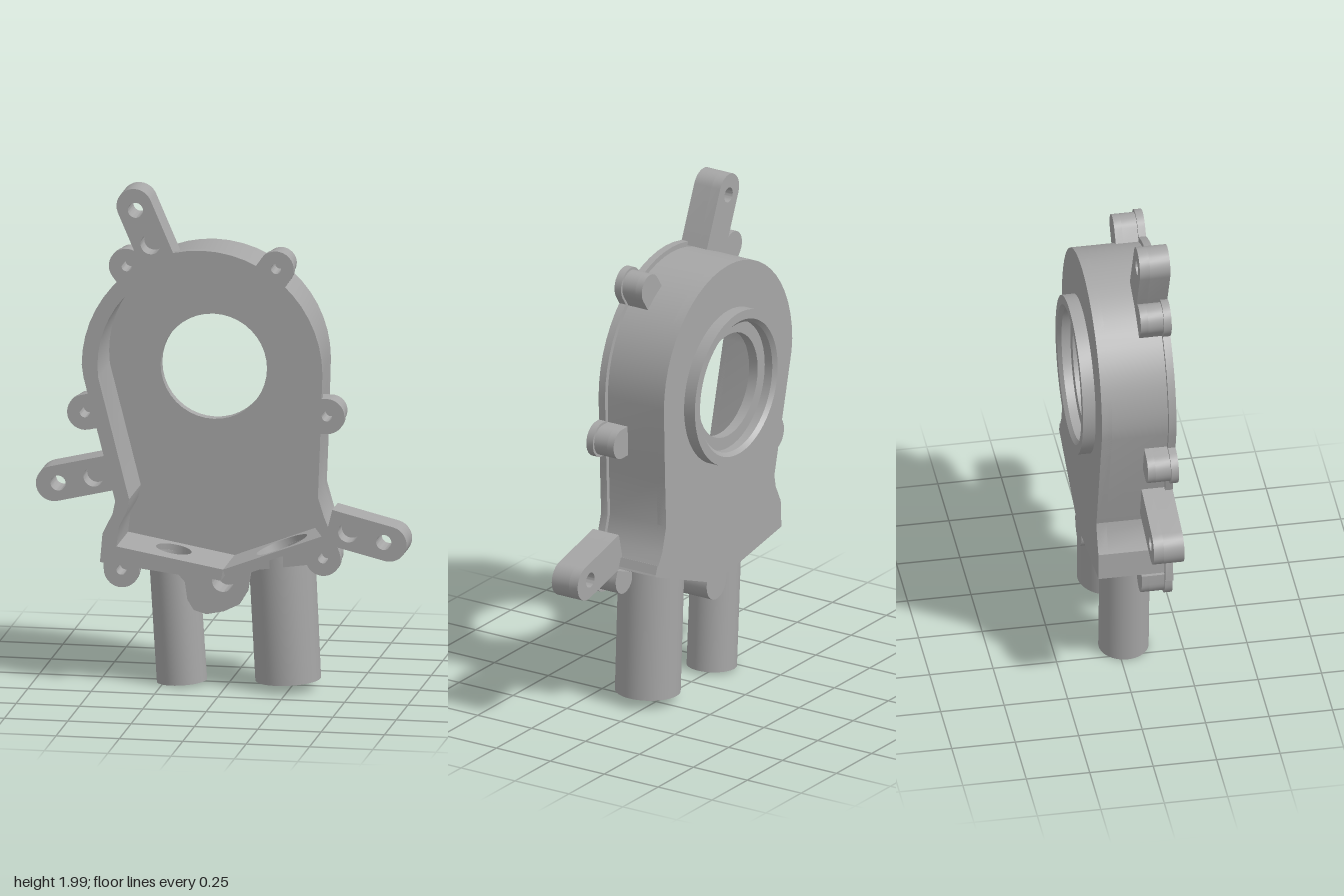
import * as THREE from 'three';
import { toCreasedNormals } from 'three/addons/utils/BufferGeometryUtils.js';

const CX = -0.077, CY = 1.29, HOLE_Y = 1.245;
const FRONT = 0.17, BACK = -0.12;

export function createModel() {
  const group = new THREE.Group();
  const metal = new THREE.MeshStandardMaterial({ color: 0xa6a6a6 });
  metal.name = 'cast grey';

  const add = (name, geo) => {
    const mesh = new THREE.Mesh(toCreasedNormals(geo, 0.4), metal);
    mesh.name = name;
    group.add(mesh);
    return mesh;
  };
  const vec = (pts) => pts.map(([x, y]) => new THREE.Vector2(x, y));
  const circle = (x, y, r) => new THREE.Path().absarc(x, y, r, 0, Math.PI * 2, true);

  // Flat plate between two depths, with holes
  const plate = (name, pts, holes, z0, z1) => {
    const shape = new THREE.Shape(vec(pts));
    shape.holes = holes;
    const geo = new THREE.ExtrudeGeometry(shape, { depth: z1 - z0, bevelEnabled: false, curveSegments: 20 });
    return add(name, geo.translate(0, 0, z0));
  };

  // Points on an arc, counter-clockwise from a0 to a1
  const arc = (x, y, r, a0, a1, n) => Array.from({ length: n + 1 }, (_, i) => {
    const a = a0 + (a1 - a0) * i / n;
    return [x + r * Math.cos(a), y + r * Math.sin(a)];
  });
  const housing = (r, right, left) => [...right, ...arc(CX, CY, r, 0, Math.PI, 26), ...left];

  // Housing profiles, each from lower right over the dome to lower left
  const inner = housing(0.413,
    [[0.395, 0.645], [0.345, 0.71], [0.325, 0.79], [0.328, 1.0]],
    [[-0.487, 1.24], [-0.365, 0.76], [-0.375, 0.71], [-0.405, 0.65], [-0.415, 0.57]]);
  const outer = housing(0.455,
    [[0.44, 0.615], [0.39, 0.7], [0.362, 0.8], [0.37, 1.0]],
    [[-0.527, 1.24], [-0.405, 0.76], [-0.415, 0.71], [-0.45, 0.64], [-0.455, 0.53]]);
  const rim = housing(0.475,
    [[-0.48, 0.505], [-0.31, 0.485], [-0.17, 0.468], [-0.145, 0.44], [-0.135, 0.37], [-0.11, 0.33],
      [-0.06, 0.315], [0.01, 0.33], [0.07, 0.36], [0.1, 0.41], [0.115, 0.5], [0.33, 0.555],
      [0.455, 0.6], [0.405, 0.72], [0.38, 0.8], [0.388, 1.0]],
    [[-0.545, 1.24], [-0.45, 0.87], [-0.42, 0.75], [-0.43, 0.7], [-0.47, 0.62]]);

  plate('sideWall', [...outer, ...[...inner].reverse()], [], BACK, FRONT);
  plate('backPlate', [[0.005, 0.45], ...outer], [circle(CX, HOLE_Y, 0.21)], BACK, -0.08);
  plate('frontFlange', rim, [
    new THREE.Path(vec([[0.005, 0.496], ...inner])),
    circle(0.005, 0.45, 0.043), circle(-0.395, 0.478, 0.02), circle(0.4, 0.558, 0.02),
  ], 0.14, FRONT);

  // Raised ring round the shaft hole at the back
  const ring = new THREE.LatheGeometry(vec([[0.26, 0.115], [0.312, 0.115], [0.312, 0.17],
    [0.275, 0.17], [0.26, 0.155], [0.26, 0.115]]), 64);
  add('shaftRing', ring.rotateX(-Math.PI / 2)).position.set(CX, HOLE_Y, 0);

  // Tab with one round end at a, running square-ended to b
  const tab = (a, b, r) => {
    const d = Math.atan2(b[1] - a[1], b[0] - a[0]);
    const nx = -Math.sin(d) * r, ny = Math.cos(d) * r;
    return [...arc(a[0], a[1], r, d + Math.PI / 2, d + Math.PI * 1.5, 14),
      [b[0] - nx, b[1] - ny], [b[0] + nx, b[1] + ny]];
  };

  // Mounting arms: tip, base, through hole, blind hole
  const arms = [
    ['topArm', [-0.345, 1.93], [-0.25, 1.71], [-0.34, 1.915], [-0.28, 1.782]],
    ['rightArm', [-0.663, 0.81], [-0.43, 0.865], [-0.645, 0.813], [-0.505, 0.845]],
    ['leftArm', [0.66, 0.626], [0.42, 0.685], [0.64, 0.632], [0.5, 0.666]],
  ];
  for (const [name, tip, base, through, blind] of arms) {
    const pts = tab(tip, base, 0.07);
    plate(name + 'Back', pts, [circle(...through, 0.03)], 0.05, 0.09);
    plate(name + 'Front', pts, [circle(...through, 0.03), circle(...blind, 0.04)], 0.09, FRONT);
  }

  // Screw lugs with blind holes, slightly wider at the flange
  const lugs = [
    [[-0.375, 1.69], [-0.339, 1.642]], [[0.215, 1.705], [0.18, 1.655]],
    [[0.415, 1.125], [0.365, 1.125]], [[-0.54, 1.1], [-0.475, 1.115]],
    [[-0.395, 0.478], [-0.395, 0.52]], [[0.4, 0.558], [0.39, 0.585]],
  ];
  for (const [c, b] of lugs) {
    const hole = () => [circle(...c, 0.02)];
    plate('lugBase', tab(c, b, 0.06), [], 0.05, 0.08);
    plate('lugBody', tab(c, b, 0.06), hole(), 0.08, 0.14);
    plate('lugFace', tab(c, b, 0.07), hole(), 0.14, FRONT);
  }

  // Drain boss under the point of the floor
  const boss = [...arc(0.005, 0.45, 0.07, Math.PI - 0.3, Math.PI * 2 + 0.5, 20), [0.005, 0.495]];
  plate('bossBack', boss, [], BACK, 0.05);
  plate('bossFront', boss, [circle(0.005, 0.45, 0.043)], 0.05, FRONT);

  // Sloping floors, each with a hole leading into a pipe
  const floors = [
    { name: 'right', a: [-0.415, 0.57], b: [0.005, 0.495], ext0: 0.03, ext1: 0,
      foot: [-0.183, 0.013], top: [-0.215, 0.51], z: 0.025, ro: 0.098, ri: 0.07 },
    { name: 'left', a: [0.005, 0.495], b: [0.395, 0.645], ext0: 0, ext1: 0.03,
      foot: [0.24, 0.042], top: [0.215, 0.555], z: 0.045, ro: 0.128, ri: 0.105 },
  ];
  for (const f of floors) {
    const [ax, ay] = f.a, dx = f.b[0] - ax, dy = f.b[1] - ay, len = Math.hypot(dx, dy);
    const u0 = -f.ext0, u1 = len + f.ext1;
    const shape = new THREE.Shape(vec([[u0, BACK], [u1, BACK], [u1, FRONT], [u0, FRONT]]));
    shape.holes.push(circle((f.top[0] - ax) * len / dx, f.z, f.ri));
    const geo = new THREE.ExtrudeGeometry(shape, { depth: 0.045, bevelEnabled: false, curveSegments: 24 });
    const basis = new THREE.Matrix4().makeBasis(
      new THREE.Vector3(dx / len, dy / len, 0), new THREE.Vector3(0, 0, 1),
      new THREE.Vector3(dy / len, -dx / len, 0)).setPosition(ax, ay, 0);
    add(f.name + 'Floor', geo.applyMatrix4(basis));

    // Pipe, its upper end cut to the slope of the floor
    const px = f.top[0] - f.foot[0], py = f.top[1] - f.foot[1], h = Math.hypot(px, py);
    const pipe = new THREE.LatheGeometry(
      vec([[f.ri, 0], [f.ro, 0], [f.ro, h], [f.ri, h], [f.ri, 0]]), 48);
    pipe.rotateZ(Math.atan2(-px, py)).translate(f.foot[0], f.foot[1], f.z);
    const p = pipe.attributes.position;
    for (let i = 0; i < p.count; i++) {
      if (p.getY(i) > 0.3) p.setY(i, ay + (p.getX(i) - ax) * dy / dx - 0.025);
    }
    add(f.name + 'Pipe', pipe);
  }
  return group;
}
